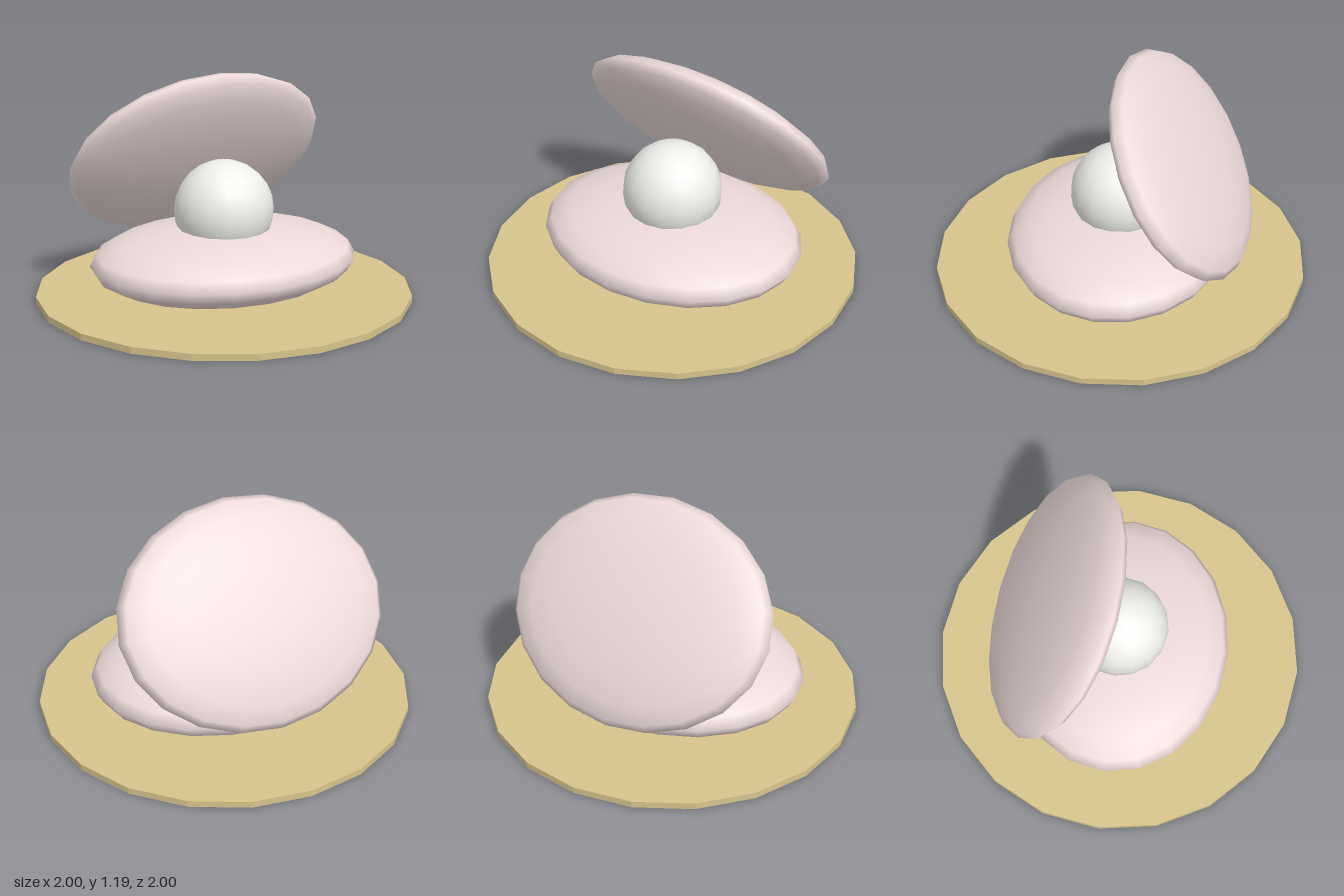
import * as THREE from 'three';

export function createModel() {
  const group = new THREE.Group();
  const sand = new THREE.MeshStandardMaterial({ color: 0xd6c48c, flatShading: true });
  const shell = new THREE.MeshStandardMaterial({ color: 0xecd9d9 });
  const pearlWhite = new THREE.MeshStandardMaterial({ color: 0xeeeeea });

  function add(name, geometry, material, y, z = 0, tilt = 0) {
    const mesh = new THREE.Mesh(geometry, material);
    mesh.name = name;
    mesh.position.set(0, y, z);
    mesh.rotation.x = tilt;
    group.add(mesh);
    return mesh;
  }

  // Flattened sphere used for both shell halves
  const valve = (halfHeight) => new THREE.SphereGeometry(1, 20, 10).scale(0.73, halfHeight, 0.6);

  // Thin sandy disc
  add('sandBase', new THREE.CylinderGeometry(1, 1, 0.035, 20), sand, 0.0175);

  // Lower half lies flat, upper half is hinged open at the back
  add('lowerShell', valve(0.19), shell, 0.2);
  add('upperShell', valve(0.14), shell, 0.7, -0.335, -0.95);

  // Pearl resting in the lower half
  add('pearl', new THREE.SphereGeometry(0.265, 16, 12), pearlWhite, 0.468);

  return group;
}
